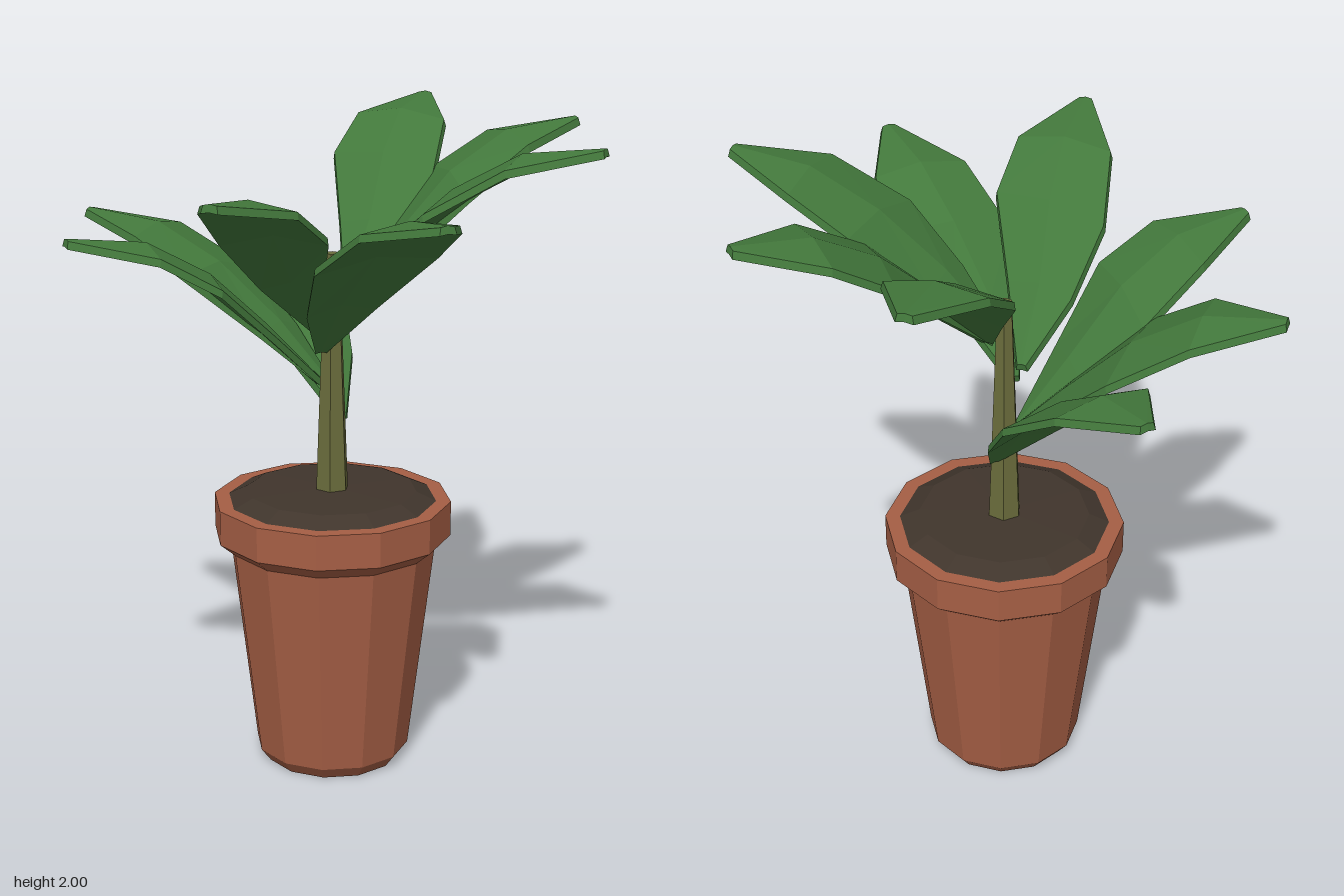
import * as THREE from 'three';

const CENTRE_X = 0.005;
const CENTRE_Z = -0.036;

function material(name, color) {
  const m = new THREE.MeshStandardMaterial({ color, flatShading: true });
  m.name = name;
  return m;
}

// Faceted solid of revolution around the pot axis
function turned(name, profile, mat, sides = 12) {
  const points = profile.map(([r, y]) => new THREE.Vector2(r, y));
  const mesh = new THREE.Mesh(new THREE.LatheGeometry(points, sides), mat);
  mesh.name = name;
  mesh.position.set(CENTRE_X, 0, CENTRE_Z);
  return mesh;
}

// Leaf stations: distance out, ridge height, half width, ridge rise, skew, sideways shift
const STATIONS = [
  [0.02, 0.02, 0.013, 0.003, 0, 0.045],
  [0.185, 0.2, 0.1, 0.025, 0.012, 0.046],
  [0.37, 0.375, 0.173, 0.03, 0.025, 0.018],
  [0.565, 0.487, 0.146, 0.025, 0.004, 0.002],
  [0.795, 0.515, 0.02, 0.004, 0, 0],
];

// Solid, ridged leaf pointing along +x: six-sided sections joined in a loop
function leafGeometry(length) {
  const pos = [];
  const index = [];
  const thick = 0.022;
  const flare = 0.005; // the underside is slightly larger than the top
  for (const [r, y, w, rise, skew, shift] of STATIONS) {
    const x = (r * length) / 0.8;
    const edge = (side, drop, out) =>
      [x - side * skew + out, y - rise - side * skew * 0.7 - drop, side * (w + out) + shift];
    pos.push(
      ...edge(-1, 0, 0), x, y, shift, ...edge(1, 0, 0),
      ...edge(1, thick, flare), x + flare, y - thick, shift, ...edge(-1, thick, flare),
    );
  }
  const last = (STATIONS.length - 1) * 6;
  for (let s = 0; s < last; s += 6) {
    for (let k = 0; k < 6; k++) {
      const a = s + k;
      const b = s + ((k + 1) % 6);
      index.push(a, b, b + 6, a, b + 6, a + 6);
    }
  }
  // End caps, split along the ridge
  for (const [a, b, c] of [[0, 1, 4], [0, 4, 5], [1, 2, 3], [1, 3, 4]]) {
    index.push(last + a, last + b, last + c, a, c, b);
  }
  const geo = new THREE.BufferGeometry();
  geo.setAttribute('position', new THREE.Float32BufferAttribute(pos, 3));
  geo.setIndex(index);
  const flat = geo.toNonIndexed();
  flat.computeVertexNormals();
  return flat;
}

export function createModel() {
  const terracotta = material('terracotta', 0xa65f45);
  const soilBrown = material('soil brown', 0x40352c);
  const stemOlive = material('stem olive', 0x6a6c3c);
  const leafGreen = material('leaf green', 0x43793c);

  const model = new THREE.Group();
  model.name = 'pottedPlant';

  // Pot with bevelled foot and thick rim
  model.add(turned('pot', [
    [0, 0], [0.21, 0], [0.24, 0.04], [0.318, 0.7], [0.366, 0.74],
    [0.366, 0.848], [0.315, 0.848], [0.305, 0.8],
  ], terracotta));

  // Slightly domed soil
  model.add(turned('soil', [[0.325, 0.846], [0.26, 0.876], [0, 0.88]], soilBrown));

  // Tapered stem
  const stem = new THREE.Mesh(new THREE.CylinderGeometry(0.024, 0.053, 0.75, 6), stemOlive);
  stem.name = 'stem';
  stem.position.set(CENTRE_X, 1.235, CENTRE_Z);
  stem.rotation.y = Math.PI / 6;
  model.add(stem);

  // Leaves spiral up the stem: compass angle in degrees, base height, length
  const leaves = new THREE.Group();
  leaves.name = 'leaves';
  const spiral = [
    [1, 1.46, 0.804], [46.5, 1.455, 0.83], [90.7, 1.318, 0.805], [135, 1.378, 0.83],
    [179.6, 1.2, 0.814], [224.8, 1.178, 0.815], [266.8, 1.09, 0.735], [315.5, 1.483, 0.788],
  ];
  spiral.forEach(([angle, height, length], i) => {
    const leaf = new THREE.Mesh(leafGeometry(length), leafGreen);
    leaf.name = `leaf${i + 1}`;
    leaf.position.set(CENTRE_X, height, CENTRE_Z);
    leaf.rotation.y = -THREE.MathUtils.degToRad(angle);
    leaves.add(leaf);
  });
  model.add(leaves);

  return model;
}
